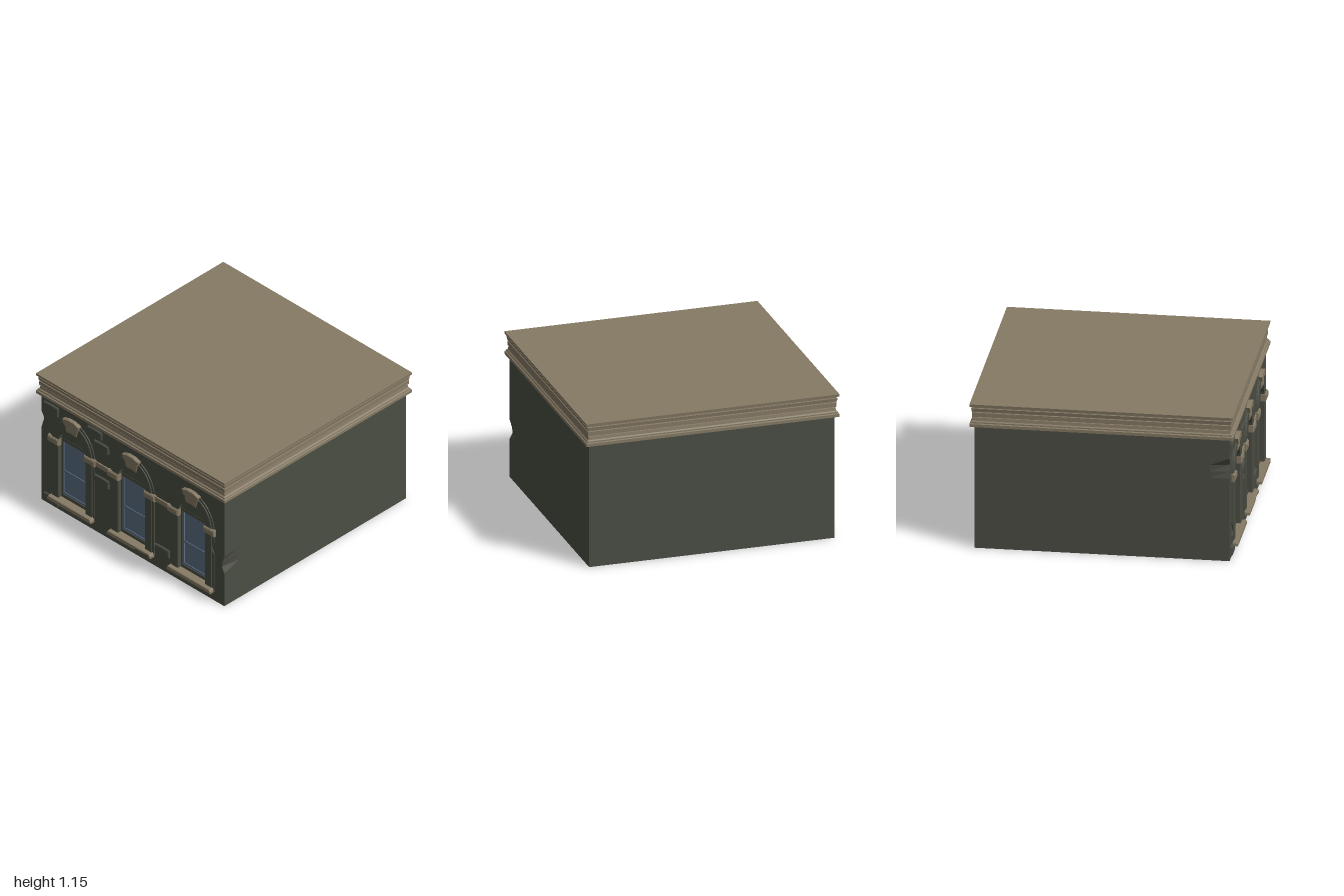
import * as THREE from 'three';

const material = (name, color) => {
  const m = new THREE.MeshStandardMaterial({ color });
  m.name = name;
  return m;
};

export function createModel() {
  const wall = material('dark wall', 0x4b4e44);
  const stone = material('tan stone', 0x867a65);
  const glass = material('blue glass', 0x5c7086);
  const model = new THREE.Group();
  model.name = 'arcadeBuilding';

  const FRONT = 0.95, SLAB_BACK = 0.8, SPRING = 0.63;
  const windowXs = [-0.627, -0.002, 0.624];

  const add = (parent, name, geometry, mat, x = 0, y = 0, z = 0) => {
    const mesh = new THREE.Mesh(geometry, mat);
    mesh.name = name;
    mesh.position.set(x, y, z);
    parent.add(mesh);
    return mesh;
  };
  // Box given by its limits
  const block = (parent, name, mat, x0, x1, y0, y1, z0, z1) =>
    add(parent, name, new THREE.BoxGeometry(x1 - x0, y1 - y0, z1 - z0), mat,
      (x0 + x1) / 2, (y0 + y1) / 2, (z0 + z1) / 2);
  const polygon = (pts) => new THREE.Shape(pts.map(([x, y]) => new THREE.Vector2(x, y)));
  // Plate from z0 to z1 with a chamfered front edge inside its outline
  const plate = (shape, z0, z1, bevel = 0) => {
    const g = new THREE.ExtrudeGeometry(shape, {
      depth: z1 - z0 - 2 * bevel, curveSegments: 14, bevelEnabled: bevel > 0,
      bevelSize: bevel, bevelOffset: -bevel, bevelThickness: bevel, bevelSegments: 1,
    });
    return g.translate(0, 0, z0 + bevel);
  };
  const rect = (x0, x1, y0, y1) => polygon([[x0, y0], [x1, y0], [x1, y1], [x0, y1]]);

  // Round-headed outline; chips are [side, y, depth] nicks in its straight edges
  const archPoints = (half, rise, bottom, cx = 0, chips = []) => {
    const nicks = (side) => chips.filter((c) => c[0] === side).flatMap(([s, y, d]) =>
      [[s * half, y - 0.05], [s * (half - d), y - 0.015], [s * (half - d * 0.6), y + 0.02], [s * half, y + 0.05]]);
    const pts = [[-half, bottom], [half, bottom], ...nicks(1)];
    for (let i = 0; i <= 20; i++) {
      const a = (i / 20) * Math.PI;
      pts.push([half * Math.cos(a), SPRING + rise * Math.sin(a)]);
    }
    pts.push(...nicks(-1).reverse());
    return pts.map(([x, y]) => [x + cx, y]);
  };

  // Main body, with a front slab carrying the openings and chipped corners
  block(model, 'body', wall, -0.96, 0.955, 0, 0.98, -0.965, SLAB_BACK);
  const facade = polygon([[-0.96, 0], [0.955, 0], [0.955, 0.3], [0.93, 0.35], [0.938, 0.4], [0.955, 0.46],
    [0.955, 0.98], [-0.96, 0.98], [-0.96, 0.82], [-0.93, 0.76], [-0.945, 0.71], [-0.96, 0.66]]);
  windowXs.forEach((cx) => facade.holes.push(polygon(archPoints(0.14, 0.15, 0.1, cx))));
  const facadeGeometry = plate(facade, SLAB_BACK, FRONT);
  const pos = facadeGeometry.attributes.position;
  for (let i = 0; i < pos.count; i++) {
    // Corner chips fade out towards the back of the slab
    if (pos.getZ(i) < SLAB_BACK + 0.01 && Math.abs(pos.getX(i)) > 0.9) {
      pos.setX(i, pos.getX(i) > 0 ? 0.955 : -0.96);
    }
  }
  facadeGeometry.computeVertexNormals();
  add(model, 'facade', facadeGeometry, wall);

  // Moulded cornice and roof: a square sweep of one profile
  const profile = [[0, 0.975], [0.988, 0.975], [0.988, 0.998], [0.978, 1.003], [0.978, 1.012], [0.968, 1.02],
    [0.964, 1.043], [0.955, 1.045], [0.955, 1.05], [0.971, 1.052], [0.971, 1.085], [0.962, 1.088],
    [0.962, 1.092], [0.972, 1.095], [0.976, 1.12], [0.966, 1.122], [0.966, 1.128], [0.986, 1.136],
    [0.988, 1.155], [0, 1.155]];
  const cornice = new THREE.LatheGeometry(
    profile.map(([h, y]) => new THREE.Vector2(h * Math.SQRT2, y)), 4, Math.PI / 4).toNonIndexed();
  cornice.computeVertexNormals();
  add(model, 'corniceAndRoof', cornice, stone, -0.002, 0, -0.01);

  // Windows
  const chips = [[[-1, 0.21, 0.022]], [[-1, 0.42, 0.02]], [[1, 0.48, 0.022]]];
  windowXs.forEach((cx, i) => {
    const bay = new THREE.Group();
    bay.name = 'windowBay' + (i + 1);
    bay.position.x = cx;
    model.add(bay);

    // Stepped surround
    [[0.23, 0.255, 0.958, 0], [0.21, 0.235, 0.966, 0.004]].forEach(([half, rise, z, bevel], k) => {
      const s = polygon(archPoints(half, rise, 0.085, 0, k ? [] : chips[i]));
      s.holes.push(polygon(archPoints(0.14, 0.15, 0.1).reverse()));
      add(bay, k ? 'innerSurround' : 'outerSurround', plate(s, FRONT - 0.01, z, bevel), wall);
    });

    // Recessed backing, frame, panes and head panel
    add(bay, 'recess', plate(polygon(archPoints(0.145, 0.155, 0.095)), SLAB_BACK, 0.915), wall);
    const frame = rect(-0.14, 0.14, 0.1, 0.66);
    frame.holes.push(rect(-0.125, 0.125, 0.142, 0.642));
    add(bay, 'frame', plate(frame, 0.91, 0.932), wall);
    const head = polygon([[-0.14, 0.642], ...archPoints(0.14, 0.15, 0.642).slice(1)]);
    add(bay, 'headPanel', plate(head, 0.91, 0.93), wall);
    block(bay, 'panes', glass, -0.125, 0.125, 0.142, 0.642, 0.914, 0.92);
    [[0.345, 0.365], [0.142, 0.16], [0.628, 0.642]].forEach(([y0, y1]) =>
      block(bay, 'sashRail', glass, -0.125, 0.125, y0, y1, 0.918, 0.926));
    [-1, 1].forEach((s) =>
      block(bay, 'sashStile', glass, s * 0.119 - 0.006, s * 0.119 + 0.006, 0.142, 0.642, 0.918, 0.926));

    // Sill, with a broken lower edge on the middle one
    const broken = i === 1 ? [[0.05, 0.08], [0.08, 0.096], [0.14, 0.092], [0.2, 0.1], [0.21, 0.08]] : [];
    add(bay, 'sill', plate(polygon([[-0.228, 0.08], ...broken, [0.228, 0.08], [0.228, 0.1],
      [0.216, 0.117], [-0.216, 0.117], [-0.228, 0.1]]), 0.93, 1, 0.004), stone);

    // Impost blocks
    [-1, 1].forEach((s) => {
      add(bay, 'impost', plate(rect(s * 0.19 - 0.055, s * 0.19 + 0.055, 0.597, 0.655), 0.93, 0.976, 0.006), stone);
      block(bay, 'impostFillet', stone, s * 0.19 - 0.05, s * 0.19 + 0.05, 0.606, 0.646, 0.94, 0.98);
    });

    // Keystone with a projecting cap
    add(bay, 'keystone', plate(polygon([[-0.052, 0.772], [0, 0.777], [0.052, 0.772], [0.07, 0.845],
      [0, 0.857], [-0.07, 0.845]]), 0.92, 0.974, 0.004), stone);
    add(bay, 'keystoneCap', plate(polygon([[-0.068, 0.834], [0, 0.848], [0.068, 0.834], [0.087, 0.88],
      [0.03, 0.898], [-0.03, 0.898], [-0.087, 0.88]]), 0.92, 0.982, 0.004), stone);
  });

  // String course between the bays
  [[-0.385, -0.245], [0.24, 0.382]].forEach(([x0, x1]) =>
    block(model, 'stringCourse', stone, x0, x1, 0.606, 0.646, 0.94, 0.962));

  // Raised bricks showing through the wall face
  [[-0.925, 0.845], [-0.47, 0.865], [-0.4, 0.77], [-0.395, 0.457], [0.235, 0.146], [-0.925, 0.022]]
    .forEach(([x, y], i) => {
      const h = i === 0 ? 0.086 : 0.074;
      const brick = polygon([[x, y + 0.005], [x + 0.03, y], [x + 0.152, y + 0.003], [x + 0.15, y + h - 0.004],
        [x + 0.08, y + h], [x + 0.002, y + h - 0.005]]);
      add(model, 'brick', plate(brick, 0.935, 0.966, 0.007), wall);
    });

  return model;
}
